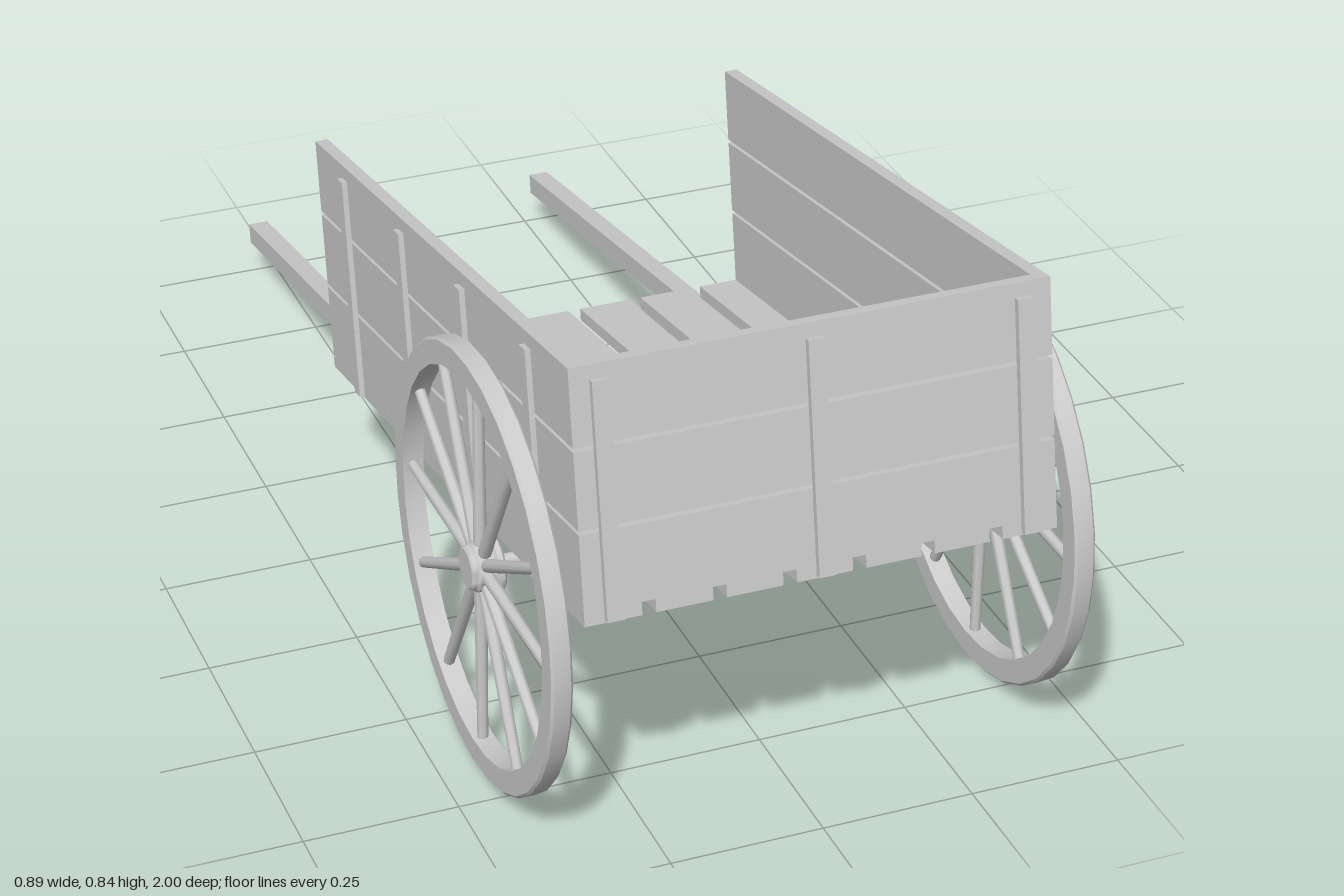
import * as THREE from 'three';
import { toCreasedNormals } from 'three/addons/utils/BufferGeometryUtils.js';

const material = new THREE.MeshStandardMaterial({ color: 0xcccccc });

function add(parent, name, geometry, x = 0, y = 0, z = 0) {
  const mesh = new THREE.Mesh(geometry, material);
  mesh.name = name;
  mesh.position.set(x, y, z);
  parent.add(mesh);
  return mesh;
}

// Box given by its lower and upper limits on each axis
function slab(parent, name, [x0, x1], [y0, y1], [z0, z1]) {
  return add(parent, name, new THREE.BoxGeometry(x1 - x0, y1 - y0, z1 - z0),
    (x0 + x1) / 2, (y0 + y1) / 2, (z0 + z1) / 2);
}

// Solid of revolution about the x axis; profile points are [radius, x]
function turned(profile, segments) {
  const points = profile.map(([r, x]) => new THREE.Vector2(r, x));
  const geometry = new THREE.LatheGeometry(points, segments).rotateZ(-Math.PI / 2);
  return toCreasedNormals(geometry, 0.6);
}

function createWheel(side) {
  const wheel = new THREE.Group();
  wheel.name = side > 0 ? 'leftWheel' : 'rightWheel';
  const R = 0.357, inner = 0.315, h = 0.017, c = 0.004;
  add(wheel, 'rim', turned([
    [inner, -h], [R - c, -h], [R, -h + c], [R, h - c], [R - c, h], [inner, h], [inner, -h],
  ], 32));
  // Stepped hub, broad flange toward the cart
  const hub = add(wheel, 'hub', turned([
    [0, -0.028], [0.042, -0.028], [0.047, -0.024], [0.047, -0.016], [0.04, -0.012],
    [0.04, 0.012], [0.035, 0.016], [0.035, 0.021], [0.031, 0.024], [0, 0.024],
  ], 24));
  if (side < 0) hub.rotation.y = Math.PI;
  const spoke = new THREE.CylinderGeometry(0.009, 0.011, 0.29, 8).translate(0, 0.178, 0);
  for (let i = 0; i < 12; i++) {
    add(wheel, 'spoke', spoke).rotation.x = i * Math.PI / 6;
  }
  wheel.position.x = side * 0.422;
  return wheel;
}

export function createModel() {
  const cart = new THREE.Group();
  cart.name = 'handcart';

  // Wheels and axle share one pivot
  const axleGroup = new THREE.Group();
  axleGroup.name = 'wheelsAndAxle';
  axleGroup.position.set(0, 0.357, 0.643);
  cart.add(axleGroup);
  axleGroup.add(createWheel(1), createWheel(-1));
  add(axleGroup, 'axle', new THREE.CylinderGeometry(0.011, 0.011, 0.85, 12).rotateZ(Math.PI / 2));

  // The body leans back about the axle until the shafts drop
  const body = new THREE.Group();
  body.name = 'body';
  body.position.copy(axleGroup.position);
  body.rotation.x = -THREE.MathUtils.degToRad(9.9);
  cart.add(body);

  const back = -0.865, front = 0.345, floorBottom = 0.026, floorTop = 0.047;
  slab(body, 'axleBeam', [-0.35, 0.35], [-0.026, 0.026], [-0.024, 0.024]);

  // Floor planks
  for (let i = -3; i <= 3; i++) {
    const x = i * 0.1117;
    slab(body, 'floorPlank', [x - 0.045, x + 0.045], [floorBottom, floorTop], [back, front]);
  }

  // Three boards on the front and on each side
  for (let i = 0; i < 3; i++) {
    const y = floorTop + i * 0.129;
    const height = [y, y + 0.123];
    slab(body, 'frontBoard', [-0.38, 0.38], height, [front - 0.022, front]);
    for (const s of [-1, 1]) {
      const x = s * 0.369;
      slab(body, 'sideBoard', [x - 0.011, x + 0.011], height, [back, front - 0.022]);
    }
  }

  // Upright battens holding the boards
  const battenHeight = [0.03, 0.405];
  for (const x of [-0.335, 0, 0.335]) {
    slab(body, 'frontBatten', [x - 0.0135, x + 0.0135], battenHeight, [front, front + 0.011]);
  }
  for (const s of [-1, 1]) {
    for (let i = 0; i < 4; i++) {
      const z = -0.71 + i * 0.294, x = s * 0.3845;
      slab(body, 'sideBatten', [x - 0.0045, x + 0.0045], battenHeight, [z - 0.0135, z + 0.0135]);
    }

    // Pulling shaft with its cross pins
    const x = s * 0.279;
    slab(body, 'shaft', [x - 0.0175, x + 0.0175], [-0.01, floorBottom], [-1.666, -0.35]);
    for (const z of [-0.41, -0.69]) {
      const pin = new THREE.CylinderGeometry(0.005, 0.005, 0.07, 8).rotateZ(Math.PI / 2);
      add(body, 'shaftPin', pin, x, 0.012, z);
    }
  }
  return cart;
}
